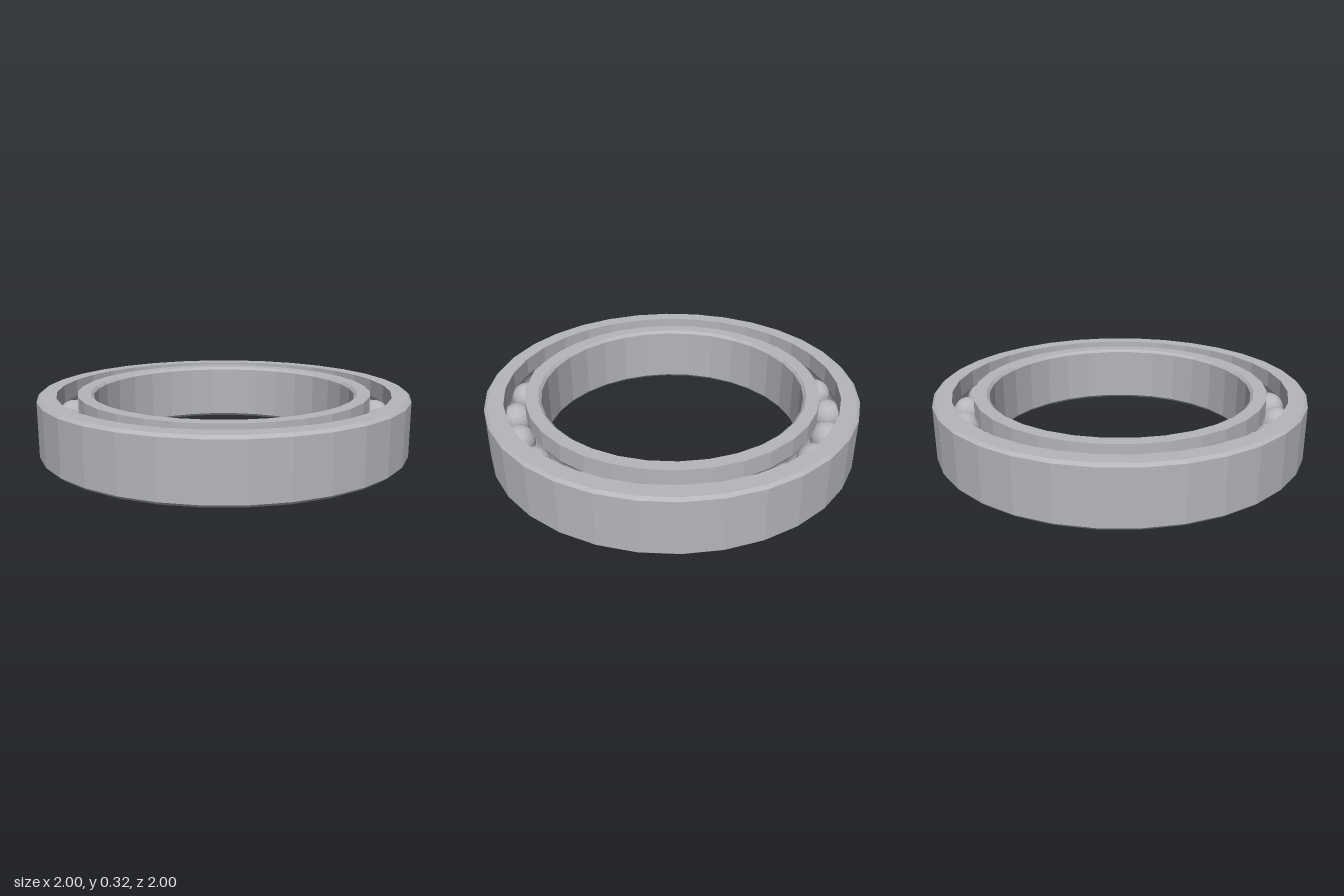
import * as THREE from 'three';

const HEIGHT = 0.32, CHAMFER = 0.015, SEGMENTS = 32;
const PITCH = 0.845, BALL = 0.083, GROOVE = 0.085, BALLS = 23;

// Rounded ball track as profile points, swept between two angles
function groove(from, to, steps = 8) {
  return Array.from({ length: steps + 1 }, (_, i) => {
    const a = from + ((to - from) * i) / steps;
    return [PITCH + GROOVE * Math.cos(a), HEIGHT / 2 + GROOVE * Math.sin(a)];
  });
}

// Faceted ring from a closed, counter-clockwise (radius, height) profile
function ring(name, profile, material) {
  const points = [...profile, profile[0]].map(([r, y]) => new THREE.Vector2(r, y));
  const geometry = new THREE.LatheGeometry(points, SEGMENTS).toNonIndexed();
  geometry.computeVertexNormals();
  const mesh = new THREE.Mesh(geometry, material);
  mesh.name = name;
  return mesh;
}

export function createModel() {
  const steel = new THREE.MeshStandardMaterial({ color: 0xb4b6bb, flatShading: true });
  steel.name = 'steel';
  const model = new THREE.Group();
  model.name = 'ballBearing';

  const outer = 1, bore = 0.705, outerWall = 0.9, innerWall = 0.79;
  const halfAngle = Math.acos((outerWall - PITCH) / GROOVE);

  // Outer ring, chamfered outside, track on its inner wall
  model.add(ring('outerRing', [
    [outerWall, 0], [outer - CHAMFER, 0], [outer, CHAMFER],
    [outer, HEIGHT - CHAMFER], [outer - CHAMFER, HEIGHT], [outerWall, HEIGHT],
    ...groove(halfAngle, -halfAngle),
  ], steel));

  // Inner ring, chamfered at the bore, track on its outer wall
  model.add(ring('innerRing', [
    [bore + CHAMFER, 0], [innerWall, 0],
    ...groove(Math.PI + halfAngle, Math.PI - halfAngle),
    [innerWall, HEIGHT], [bore + CHAMFER, HEIGHT],
    [bore, HEIGHT - CHAMFER], [bore, CHAMFER],
  ], steel));

  // Balls evenly spaced in the track
  const balls = new THREE.Group();
  balls.name = 'balls';
  const ballGeometry = new THREE.IcosahedronGeometry(BALL, 3);
  for (let i = 0; i < BALLS; i++) {
    const a = (i / BALLS) * Math.PI * 2;
    const ball = new THREE.Mesh(ballGeometry, steel);
    ball.name = 'ball';
    ball.position.set(PITCH * Math.cos(a), HEIGHT / 2, PITCH * Math.sin(a));
    ball.rotation.y = -a;
    balls.add(ball);
  }
  model.add(balls);
  return model;
}
